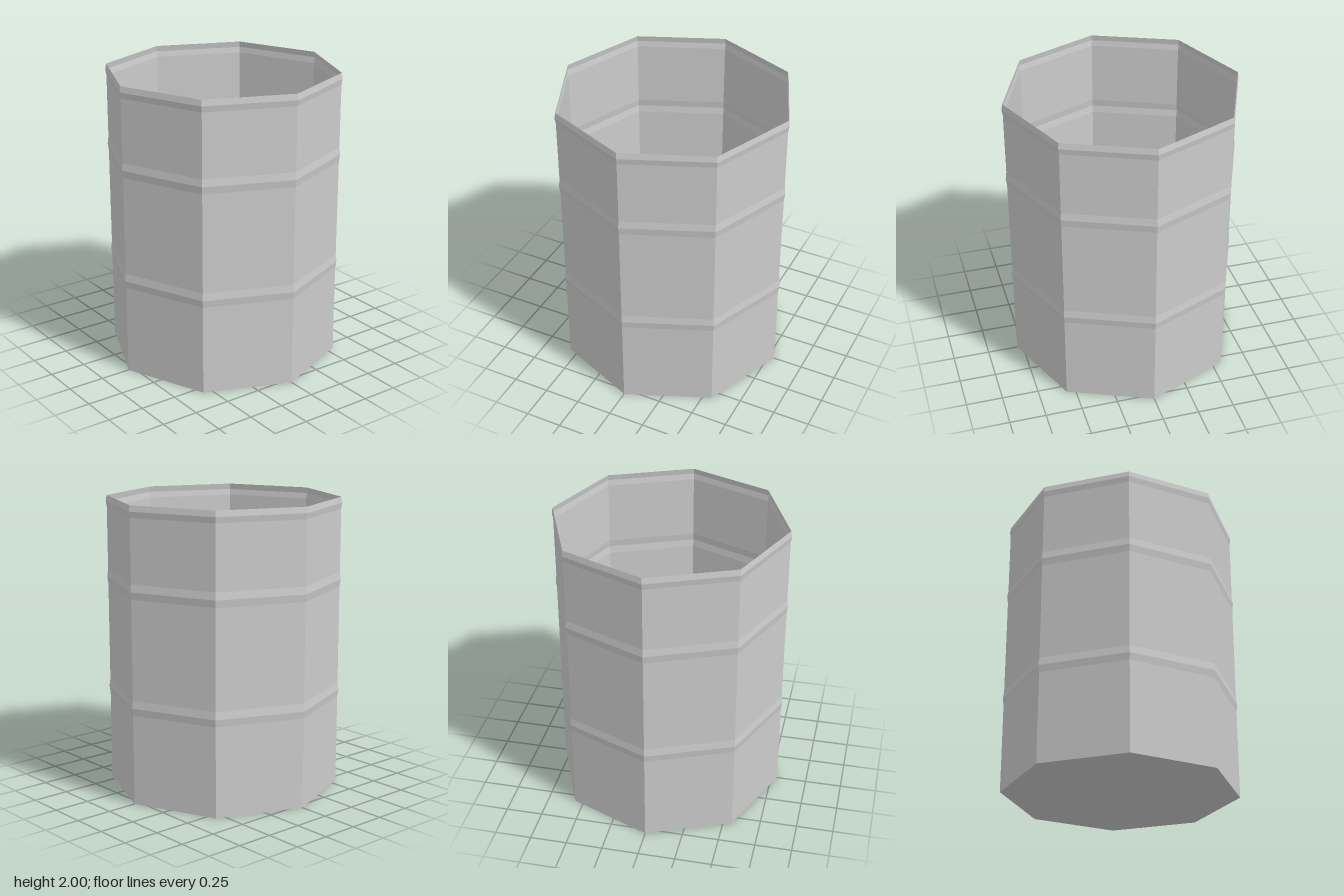
import * as THREE from 'three';

const SIDES = 8;
const WALL = 0.792;
const RIDGE = 0.799;

export function createModel() {
  const group = new THREE.Group();
  group.name = 'barrel';
  const material = new THREE.MeshStandardMaterial({
    color: 0xcccccc, flatShading: true, side: THREE.DoubleSide,
  });

  // Thin open wall with two pressed ridges and a rolled rim
  const profile = [new THREE.Vector2(WALL, 0)];
  for (const [low, mid, high] of [[0.615, 0.664, 0.716], [1.39, 1.44, 1.49], [1.92, 1.96, 2]]) {
    profile.push(
      new THREE.Vector2(WALL, low),
      new THREE.Vector2(RIDGE, mid),
      new THREE.Vector2(WALL, high),
    );
  }
  const wall = new THREE.Mesh(new THREE.LatheGeometry(profile, SIDES), material);
  wall.name = 'wall';
  group.add(wall);

  // Flat octagonal bottom, visible from inside and below
  const bottom = new THREE.Mesh(new THREE.CircleGeometry(WALL, SIDES), material);
  bottom.name = 'bottom';
  bottom.rotation.x = Math.PI / 2;
  group.add(bottom);

  return group;
}
